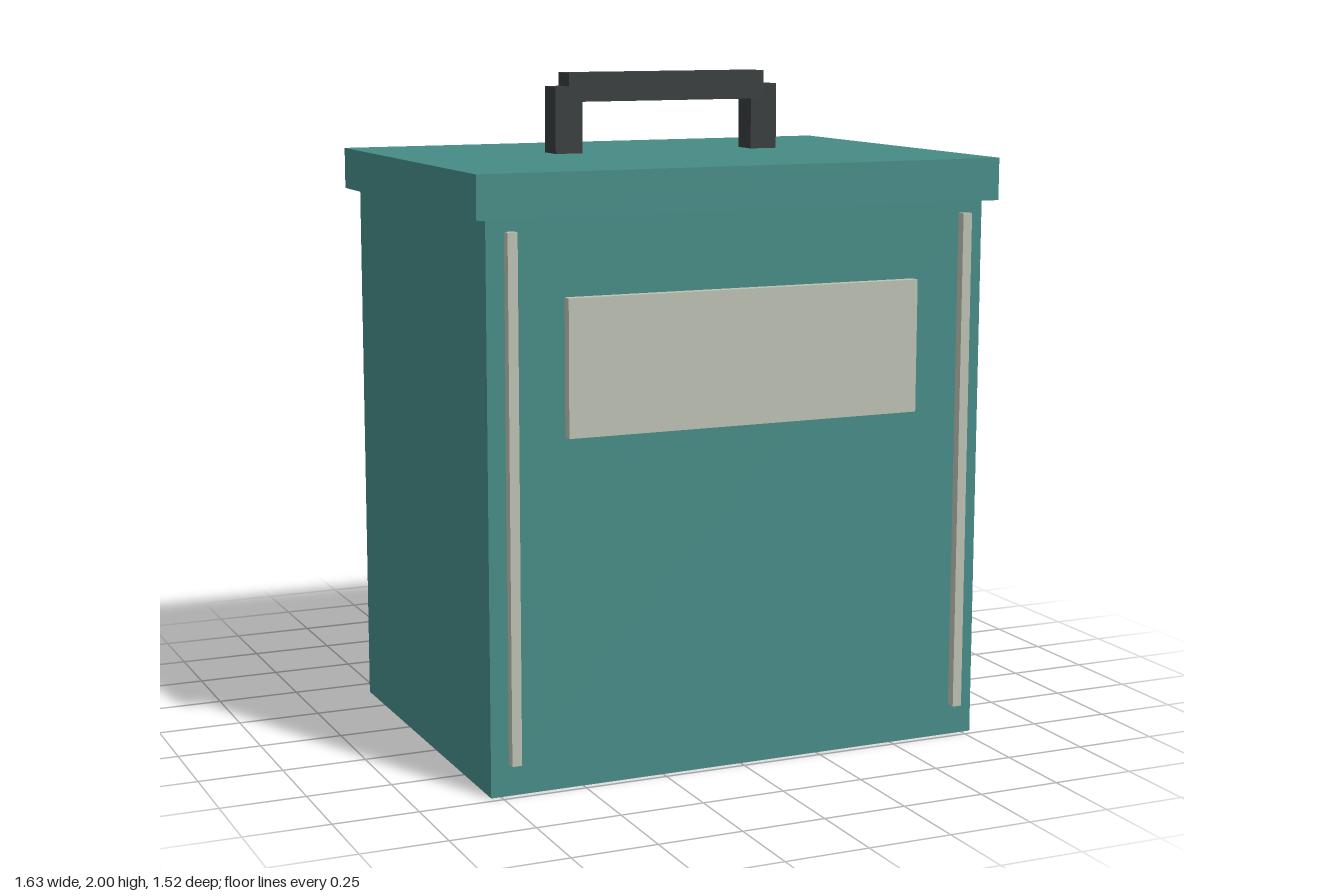
import * as THREE from 'three';

const teal = new THREE.MeshStandardMaterial({ color: 0x468b86 });
const dark = new THREE.MeshStandardMaterial({ color: 0x363b3b });
const pale = new THREE.MeshStandardMaterial({ color: 0xbcc0b2 });

// Box given by its extents along each axis
function box(name, material, [x0, x1], [y0, y1], [z0, z1]) {
  const mesh = new THREE.Mesh(new THREE.BoxGeometry(x1 - x0, y1 - y0, z1 - z0), material);
  mesh.position.set((x0 + x1) / 2, (y0 + y1) / 2, (z0 + z1) / 2);
  mesh.name = name;
  return mesh;
}

// One straight piece of a shoulder strap, tilted about x
function strapPiece(name, length, depth, y, z, tilt) {
  const mesh = new THREE.Mesh(new THREE.BoxGeometry(0.133, length, depth), dark);
  mesh.position.set(0, y, z);
  mesh.rotation.x = tilt;
  mesh.name = name;
  return mesh;
}

export function createModel() {
  const model = new THREE.Group();
  model.name = 'boxBackpack';

  // Body and overhanging lid
  model.add(box('body', teal, [-0.78, 0.78], [0, 1.63], [-0.41, 0.727]));
  model.add(box('lid', teal, [-0.817, 0.817], [1.63, 1.755], [-0.446, 0.76]));

  // Front panel
  model.add(box('frontPanel', pale, [-0.55, 0.55], [1.015, 1.407], [0.725, 0.757]));

  // Carry handle on the lid
  const handle = new THREE.Group();
  handle.name = 'carryHandle';
  handle.add(box('handleBar', dark, [-0.32, 0.32], [1.915, 2], [0.115, 0.2]));
  model.add(handle);

  for (const [side, s] of [['left', 1], ['right', -1]]) {
    const post = box(side + 'HandlePost', dark, [0.278, 0.364], [1.763, 1.96], [0.115, 0.2]);
    const strip = box(side + 'FrontStrip', pale, [0.699, 0.728], [0.095, 1.595], [0.732, 0.76]);
    post.position.x *= s;
    strip.position.x *= s;
    handle.add(post);
    model.add(strip);

    // Shoulder strap in three pieces
    const strap = new THREE.Group();
    strap.name = side + 'ShoulderStrap';
    strap.position.x = s * 0.533;
    strap.add(strapPiece('strapTop', 0.4, 0.128, 1.3, -0.575, 0.654));
    strap.add(strapPiece('strapMiddle', 0.78, 0.13, 0.75, -0.694, 0));
    strap.add(strapPiece('strapBottom', 0.266, 0.13, 0.305, -0.572, -1.16));
    model.add(strap);
  }
  return model;
}
